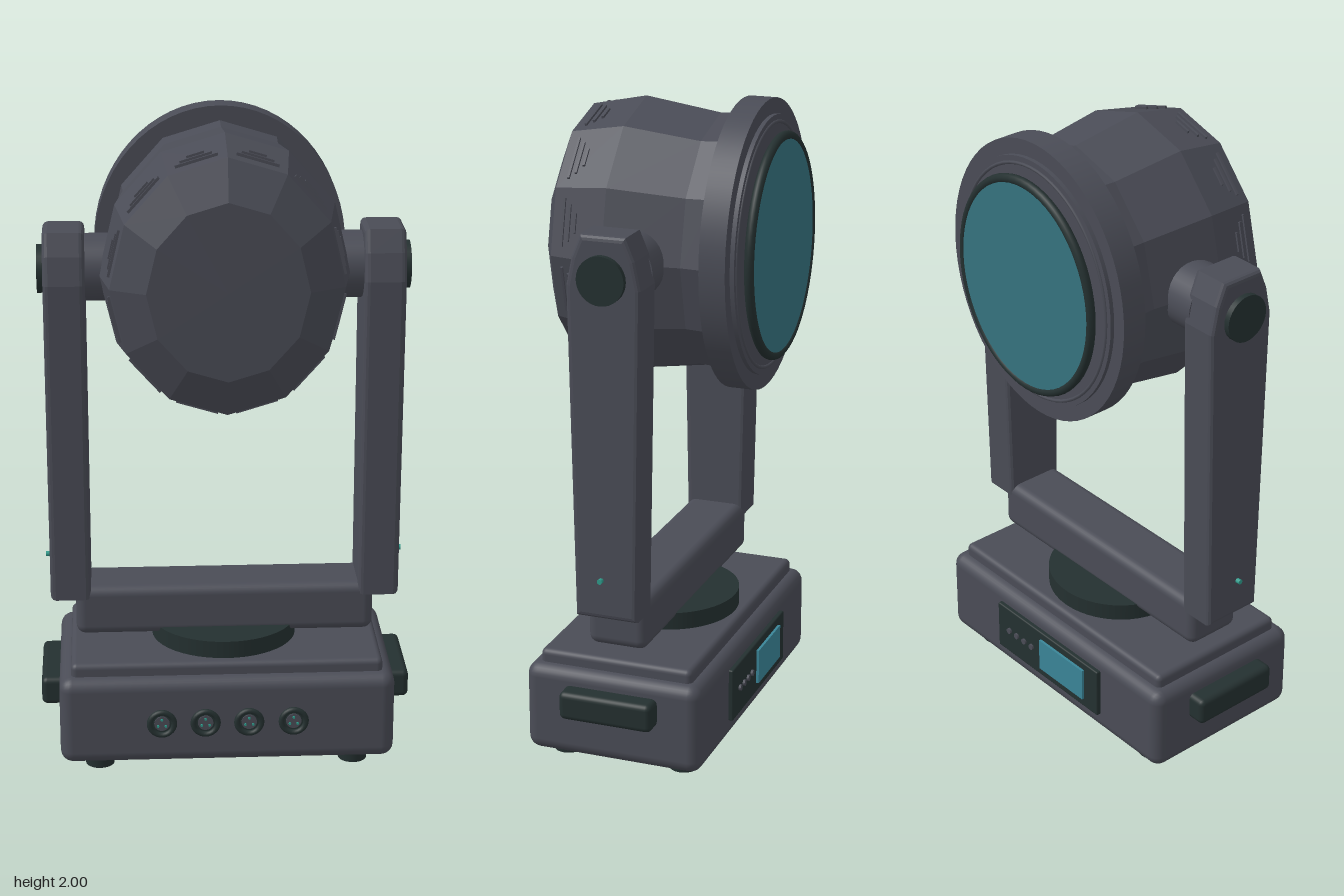
import * as THREE from 'three';
import { RoundedBoxGeometry } from 'three/addons/geometries/RoundedBoxGeometry.js';
import { mergeGeometries } from 'three/addons/utils/BufferGeometryUtils.js';

const mat = (name, color, side = THREE.FrontSide) => {
  const m = new THREE.MeshStandardMaterial({ color, side });
  m.name = name;
  return m;
};

export function createModel() {
  const grey = mat('housing grey', 0x4a4c56);
  const dark = mat('dark trim', 0x243030);
  const glass = mat('lens glass', 0x35737f, THREE.DoubleSide);
  const display = mat('display blue', 0x3a8598);
  const light = mat('indicator teal', 0x2f9c8c);
  const root = new THREE.Group();
  const CZ = 0.028; // centre line of base, yoke and pivots

  const add = (name, geo, material, x = 0, y = 0, z = 0, parent = root) => {
    const m = new THREE.Mesh(geo, material);
    m.name = name;
    m.position.set(x, y, z);
    parent.add(m);
    return m;
  };
  const box = (w, h, d, r) => new RoundedBoxGeometry(w, h, d, 3, r);
  const cylX = (r, len, n = 32) => new THREE.CylinderGeometry(r, r, len, n).rotateZ(Math.PI / 2);
  const cylZ = (r, len, n = 32) => new THREE.CylinderGeometry(r, r, len, n).rotateX(Math.PI / 2);

  // Base with stepped lid and feet
  add('base', box(1.04, 0.285, 0.565, 0.04), grey, 0, 0.1775, CZ);
  add('baseLid', box(0.966, 0.08, 0.49, 0.018), grey, 0, 0.32, CZ);
  for (const x of [-0.398, 0.398])
    for (const z of [-0.163, 0.219])
      add('foot', new THREE.CylinderGeometry(0.048, 0.045, 0.05, 24), dark, x, 0.025, z);
  for (const s of [-1, 1])
    add('sideHandle', box(0.08, 0.09, 0.298, 0.018), dark, s * 0.537, 0.225, CZ);

  // Row of round sockets on the front
  for (const x of [-0.205, -0.07, 0.065, 0.203]) {
    const socket = new THREE.Group();
    socket.name = 'socket';
    socket.position.set(x, 0.181, 0.31);
    root.add(socket);
    add('socketPlate', cylZ(0.04, 0.024, 24), dark, 0, 0, 0.002, socket);
    add('socketRim', new THREE.TorusGeometry(0.038, 0.009, 8, 28), dark, 0, 0, 0.017, socket);
    add('socketCore', cylZ(0.024, 0.006, 20), grey, 0, 0, 0.015, socket);
    for (let i = 0; i < 3; i++) {
      const a = Math.PI / 2 + i * Math.PI * 2 / 3;
      add('socketPin', cylZ(0.004, 0.006, 8), light, Math.cos(a) * 0.014, Math.sin(a) * 0.014, 0.02, socket);
    }
  }

  // Control panel on the back
  add('controlPanel', box(0.5, 0.17, 0.02, 0.005), dark, 0, 0.186, -0.259);
  add('displayScreen', new THREE.BoxGeometry(0.215, 0.112, 0.009), display, -0.08, 0.19, -0.273);
  for (let i = 0; i < 4; i++)
    add('panelButton', cylZ(0.01, 0.008, 12), grey, 0.075 + i * 0.038, 0.19, -0.272);

  // Turntable and yoke
  add('turntable', new THREE.CylinderGeometry(0.227, 0.227, 0.07, 48), dark, 0, 0.38, CZ).scale.z = 0.945;
  add('yokeCrossbar', box(0.93, 0.16, 0.19, 0.03), grey, 0, 0.472, CZ + 0.002);

  // Arm outline: half width against height, mirrored about the centre line
  const half = [[0.098, 0.515], [0.116, 1.535], [0.098, 1.62], [0.07, 1.687]];
  const outline = [...half, ...half.map(([w, y]) => [-w, y]).reverse()];
  const bevel = 0.016, armW = 0.126;
  const armGeo = new THREE.ExtrudeGeometry(
    new THREE.Shape(outline.map(([w, y]) => new THREE.Vector2(w, y))),
    { depth: armW - 2 * bevel, bevelEnabled: true, bevelThickness: bevel, bevelSize: bevel, bevelOffset: -bevel, bevelSegments: 3 }
  ).translate(0, 0, -(armW / 2 - bevel)).rotateY(Math.PI / 2);
  for (const s of [-1, 1]) {
    add('yokeArm', armGeo, grey, s * 0.48, 0, CZ + 0.003);
    add('pivotCap', cylX(0.073, 0.03), dark, s * 0.546, 1.56, CZ + 0.004);
    add('pivotAxle', cylX(0.102, 0.15), grey, s * 0.365, 1.56, CZ - 0.008);
    add('armIndicator', cylX(0.008, 0.02, 12), light, s * 0.547, 0.64, CZ + 0.017);
  }

  // Lamp head: slightly oval, taller than wide
  const head = new THREE.Group();
  head.name = 'lampHead';
  head.position.y = 1.56;
  head.scale.x = 0.886;
  root.add(head);

  // Faceted shell, from the lens end to the closed end
  const profile = [[0, -0.21], [0.395, -0.21], [0.39, -0.13], [0.425, 0.105], [0.39, 0.275], [0.27, 0.33], [0, 0.332]];
  const shell = new THREE.LatheGeometry(profile.map(([r, z]) => new THREE.Vector2(r, z)), 12)
    .rotateX(Math.PI / 2).toNonIndexed();
  shell.computeVertexNormals();
  add('headShell', shell, grey, 0, 0, 0, head);

  // Three cooling fins on every facet
  const fins = [];
  for (let k = 0; k < 12; k++)
    [[0.2, 0.06], [0.22, 0.11], [0.24, 0.145]].forEach(([z, w]) => {
      const r = (0.425 - (z - 0.105) / 0.17 * 0.035) * Math.cos(Math.PI / 12);
      fins.push(new THREE.BoxGeometry(w, 0.016, 0.007).translate(0, r, z).rotateZ((k + 0.5) * Math.PI / 6));
    });
  add('coolingFins', mergeGeometries(fins), grey, 0, 0, 0, head);

  // Bezel, stepped ring and lens
  add('bezel', cylZ(0.44, 0.08, 64), grey, 0, 0, -0.242, head);
  add('bezelStep', cylZ(0.392, 0.03, 64), grey, 0, 0, -0.28, head);
  add('bezelGroove', new THREE.TorusGeometry(0.37, 0.006, 6, 64), grey, 0, 0, -0.294, head);
  add('lensRim', new THREE.TorusGeometry(0.331, 0.0145, 10, 64), dark, 0, 0, -0.322, head);
  add('lens', cylZ(0.329, 0.008, 64), glass, 0, 0, -0.328, head);

  return root;
}
